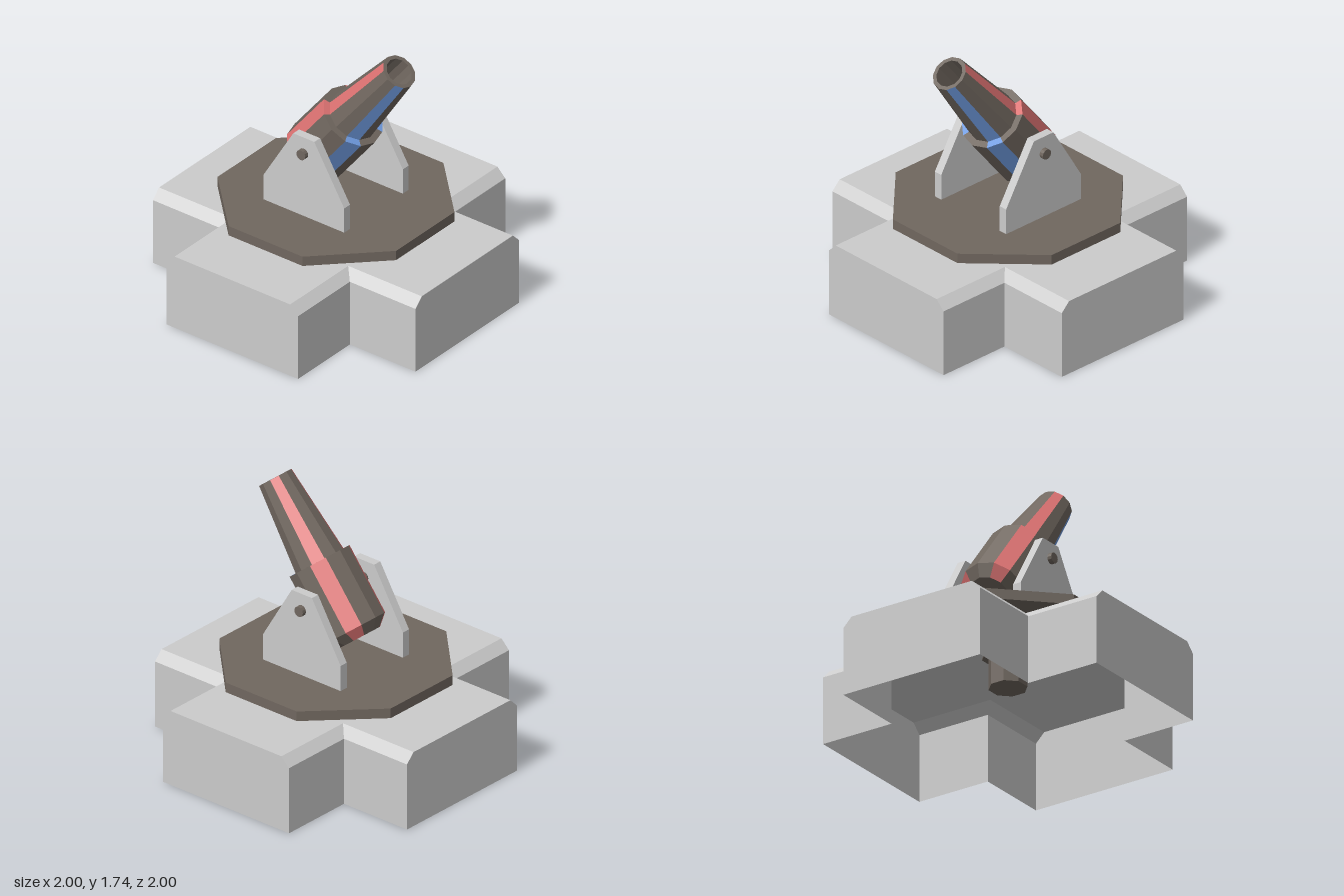
import * as THREE from 'three';

const mat = (color, side = THREE.FrontSide) =>
  new THREE.MeshStandardMaterial({ color, flatShading: true, side });
const grey = mat(0xcccccc);
const greyOpen = mat(0xcccccc, THREE.DoubleSide);
const dark = mat(0x70675f);
const red = mat(0xdd7272);
const blue = mat(0x6f9be0);

function add(parent, name, geometry, material) {
  const mesh = new THREE.Mesh(geometry, material);
  mesh.name = name;
  parent.add(mesh);
  return mesh;
}

// Octagonal disc with flat sides facing the axes, sized by half its width
function octagon(halfWidth, y0, y1) {
  const r = halfWidth / Math.cos(Math.PI / 8);
  return new THREE.CylinderGeometry(r, r, y1 - y0, 8).rotateY(Math.PI / 8).translate(0, (y0 + y1) / 2, 0);
}

// One arm of the cross: an open-bottomed chamfered section, mitred at the inner end
const section = [[-0.5, 0], [-0.5, 0.44], [-0.44, 0.5], [0.44, 0.5], [0.5, 0.44], [0.5, 0]];
function armGeometry() {
  const pos = [];
  for (let i = 0; i < section.length - 1; i++) {
    const [x0, y0] = section[i], [x1, y1] = section[i + 1];
    const a = [x0, y0, Math.abs(x0)], b = [x0, y0, 1];
    const c = [x1, y1, 1], d = [x1, y1, Math.abs(x1)];
    pos.push(...a, ...b, ...c, ...a, ...c, ...d);
  }
  const g = new THREE.BufferGeometry();
  g.setAttribute('position', new THREE.Float32BufferAttribute(pos, 3));
  g.computeVertexNormals();
  return g;
}

function createBase() {
  const base = new THREE.Group();
  base.name = 'crossBase';
  const endShape = new THREE.Shape(section.map(([x, y]) => new THREE.Vector2(x, y)));
  for (let i = 0; i < 4; i++) {
    const arm = new THREE.Group();
    arm.name = 'baseArm';
    add(arm, 'armShell', armGeometry(), greyOpen);
    add(arm, 'armEnd', new THREE.ShapeGeometry(endShape).translate(0, 0, 1), greyOpen);
    arm.rotation.y = i * Math.PI / 2;
    base.add(arm);
  }
  add(base, 'baseTop', new THREE.PlaneGeometry(0.88, 0.88).rotateX(-Math.PI / 2).translate(0, 0.5, 0), greyOpen);
  return base;
}

// Barrel along local y, with the pivot at its origin; angle 0 is its underside
function createBarrel() {
  const barrel = new THREE.Group();
  barrel.name = 'barrel';
  const points = (list) => list.map(([r, s]) => new THREE.Vector2(r, s));
  const shell = points([[0.138, -0.307], [0.207, -0.245], [0.207, 0.21], [0.165, 0.21], [0.112, 0.775]]);
  const step = Math.PI / 6;
  // Start side, number of sides, material
  const strips = [
    [-1, 2, dark], [1, 1, blue], [2, 2, dark], [4, 1, red],
    [5, 2, dark], [7, 1, red], [8, 2, dark], [10, 1, blue],
  ];
  for (const [start, count, material] of strips) {
    const name = material === dark ? 'barrelShell' : 'barrelStripe';
    add(barrel, name, new THREE.LatheGeometry(shell, count, start * step, count * step), material);
  }
  add(barrel, 'breechEnd', new THREE.LatheGeometry(points([[0, -0.307], [0.138, -0.307]]), 12), dark);
  add(barrel, 'muzzleBore', new THREE.LatheGeometry(points([[0.112, 0.775], [0.088, 0.775], [0.088, 0.25], [0, 0.25]]), 12), dark);
  barrel.position.y = 1.06;
  barrel.rotation.x = 0.671;
  return barrel;
}

export function createModel() {
  const model = new THREE.Group();
  model.name = 'cannon';
  model.add(createBase());

  // Turntable and its post
  add(model, 'turntable', octagon(0.68, 0.555, 0.62), dark);
  add(model, 'postCollar', octagon(0.147, 0.49, 0.555), dark);
  add(model, 'post', octagon(0.11, 0.29, 0.5), dark);

  // Side supports with axle stubs
  const plate = new THREE.Shape([
    [-0.308, 0.62], [0.308, 0.62], [0.308, 0.79], [0.08, 1.17], [-0.08, 1.17], [-0.308, 0.79],
  ].map(([z, y]) => new THREE.Vector2(z, y)));
  for (const side of [-1, 1]) {
    const support = new THREE.ExtrudeGeometry(plate, { depth: 0.056, bevelEnabled: false });
    support.translate(0, 0, -0.028).rotateY(Math.PI / 2).translate(side * 0.283, 0, 0);
    add(model, 'support', support, grey);
    const axle = new THREE.CylinderGeometry(0.034, 0.034, 0.2, 12);
    axle.rotateZ(Math.PI / 2).translate(side * 0.24, 1.06, 0);
    add(model, 'axle', axle, dark);
  }

  model.add(createBarrel());
  return model;
}
